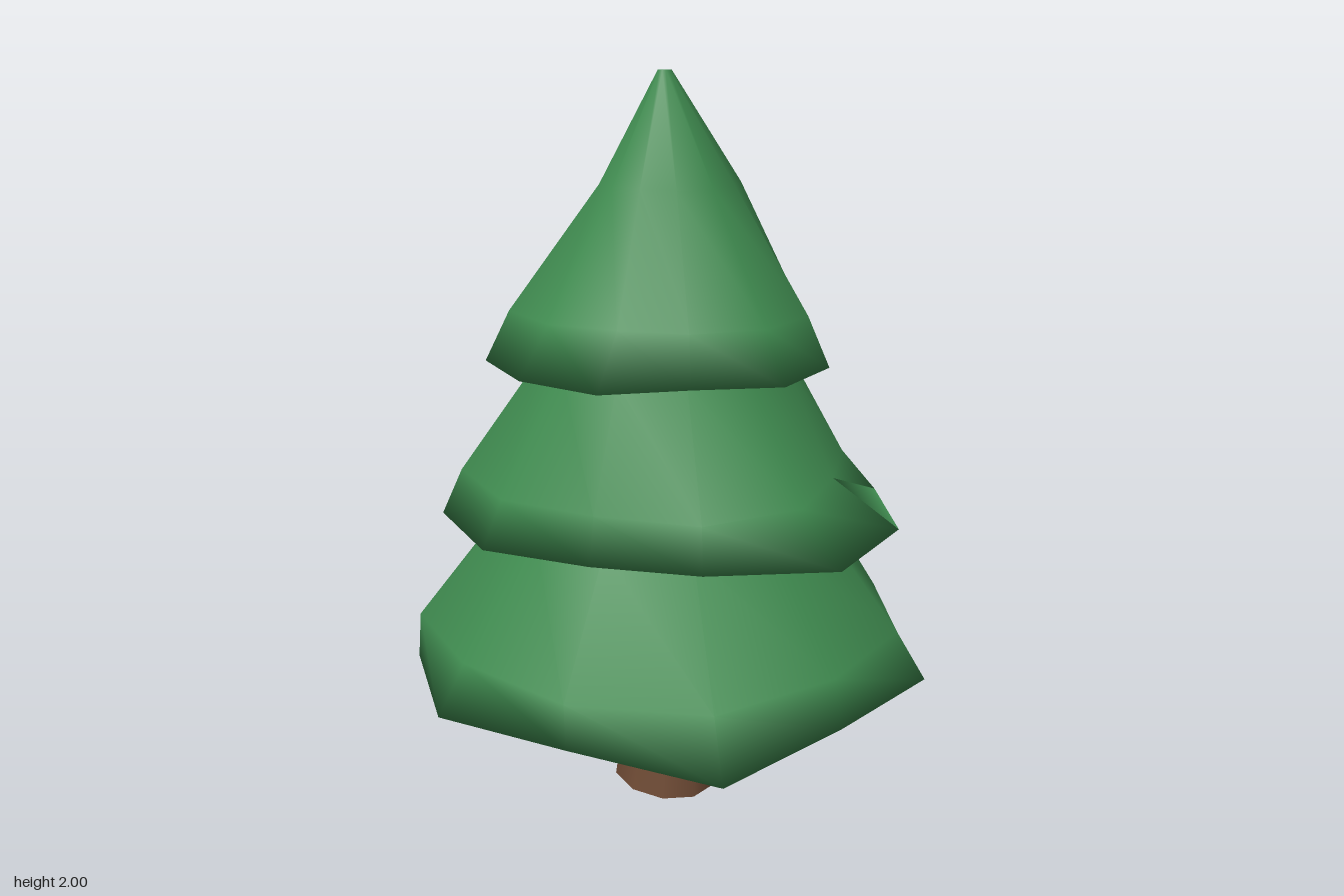
import * as THREE from 'three';

// Skin over rings listed top to bottom, closed at both ends if capped.
// Each ring: { x, y, z, r, tilt }, where r is one radius or one per side.
function loft(rings, sides, capped) {
  const pos = [], index = [];
  for (const { x, y, z, r, tilt = 0 } of rings) {
    for (let j = 0; j < sides; j++) {
      const a = (j / sides) * Math.PI * 2;
      const rad = Array.isArray(r) ? r[j] : r;
      const dx = Math.cos(a) * rad;
      pos.push(x + dx, y + tilt * dx, z + Math.sin(a) * rad);
    }
  }
  const base = (rings.length - 1) * sides;
  const top = base + sides, bottom = top + 1;
  if (capped) {
    const first = rings[0], last = rings[rings.length - 1];
    pos.push(first.x, first.y, first.z, last.x, last.y, last.z);
  }
  for (let j = 0; j < sides; j++) {
    const k = (j + 1) % sides;
    for (let u = 0; u < base; u += sides) {
      const l = u + sides;
      index.push(u + j, u + k, l + j, u + k, l + k, l + j);
    }
    if (capped) index.push(top, k, j, bottom, base + j, base + k);
  }
  const geo = new THREE.BufferGeometry();
  geo.setAttribute('position', new THREE.Float32BufferAttribute(pos, 3));
  geo.setIndex(index);
  geo.computeVertexNormals();
  return geo;
}

// Foliage tiers: upper rings [y, r], then a shoulder and a ragged rim
// with one radius every 30 degrees, starting at +x and turning towards +z.
const TIERS = [
  {
    name: 'lowerFoliage',
    upper: [[1.17, 0.19], [0.86, 0.43]],
    shoulderY: 0.565,
    shoulder: [0.66, 0.66, 0.71, 0.685, 0.66, 0.68, 0.66, 0.67, 0.63, 0.59, 0.67, 0.61],
    rimY: 0.44,
    rim: [0.74, 0.69, 0.82, 0.68, 0.74, 0.69, 0.7, 0.75, 0.76, 0.64, 0.63, 0.64],
  },
  {
    name: 'middleFoliage',
    upper: [[1.59, 0.14], [1.27, 0.335]],
    shoulderY: 0.975,
    shoulder: [0.47, 0.53, 0.54, 0.49, 0.53, 0.55, 0.53, 0.52, 0.5, 0.57, 0.57, 0.5],
    rimY: 0.855,
    rim: [0.65, 0.67, 0.555, 0.52, 0.59, 0.605, 0.53, 0.59, 0.62, 0.57, 0.695, 0.6],
  },
  {
    name: 'upperFoliage',
    upper: [
      [2, 0.018],
      [1.72, [0.19, 0.19, 0.18, 0.175, 0.17, 0.17, 0.165, 0.17, 0.17, 0.185, 0.2, 0.2]],
    ],
    shoulderY: 1.4,
    shoulder: [0.39, 0.39, 0.36, 0.33, 0.375, 0.41, 0.37, 0.38, 0.39, 0.39, 0.36, 0.36],
    rimY: 1.27,
    rim: [0.45, 0.46, 0.39, 0.46, 0.465, 0.475, 0.49, 0.43, 0.455, 0.425, 0.48, 0.42],
  },
];

export function createModel() {
  const group = new THREE.Group();
  const foliage = new THREE.MeshStandardMaterial({ color: 0x3f8a4f });
  foliage.name = 'foliage green';
  const bark = new THREE.MeshStandardMaterial({ color: 0x6f4b35, side: THREE.DoubleSide });
  bark.name = 'bark brown';

  const add = (name, geometry, material) => {
    const mesh = new THREE.Mesh(geometry, material);
    mesh.name = name;
    group.add(mesh);
  };

  // Three stacked skirts around a shared axis, soft-edged down to the rim
  const axis = { x: -0.02, z: -0.03 };
  for (const t of TIERS) {
    const rings = [...t.upper, [t.shoulderY, t.shoulder], [t.rimY, t.rim]];
    add(t.name, loft(rings.map(([y, r]) => ({ ...axis, y, r })), 12, true), foliage);
  }

  // Crooked open trunk with a slanted foot
  const trunk = loft([
    { x: -0.01, y: 0.52, z: -0.03, r: 0.1 },
    { x: 0.01, y: 0.31, z: -0.037, r: 0.118, tilt: 0.05 },
    { x: -0.018, y: 0.018, z: -0.024, r: 0.148, tilt: -0.12 },
  ], 10, false);
  add('trunk', trunk, bark);

  return group;
}
